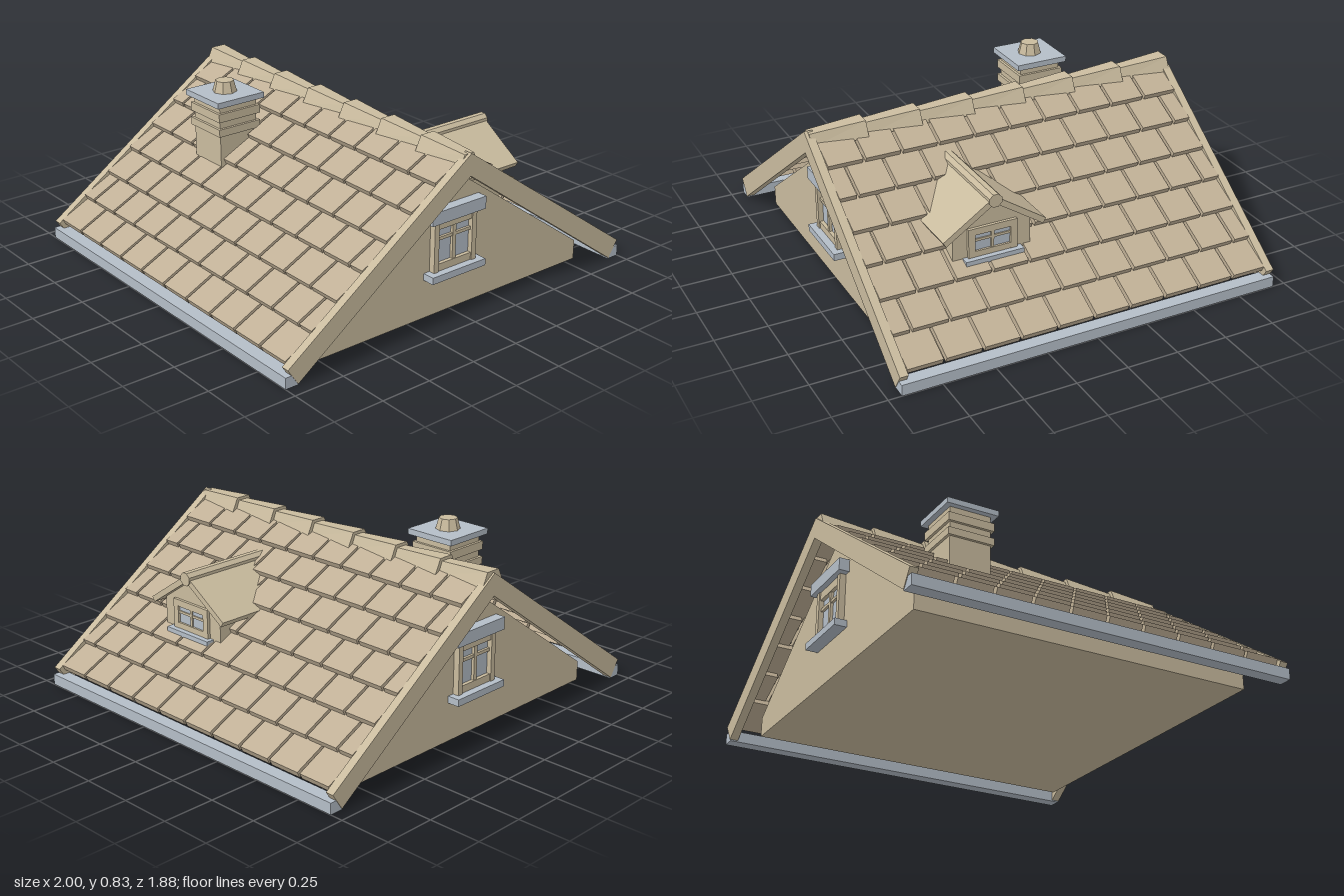
import * as THREE from 'three';

const mat = (name, color) => {
  const m = new THREE.MeshStandardMaterial({ color });
  m.name = name;
  return m;
};

export function createModel() {
  const model = new THREE.Group();
  model.name = 'roof';
  const plaster = mat('tan plaster', 0xc9bb9e);
  const clay = mat('clay tile', 0xc0b096);
  const stone = mat('blue grey stone', 0xb4bdc7);

  const add = (parent, name, geo, material, x = 0, y = 0, z = 0) => {
    const m = new THREE.Mesh(geo, material);
    m.name = name;
    m.position.set(x, y, z);
    parent.add(m);
    return m;
  };
  const group = (parent, name) => {
    const g = new THREE.Group();
    g.name = name;
    parent.add(g);
    return g;
  };
  // box given by its limits
  const box = (parent, name, material, x0, x1, y0, y1, z0, z1) =>
    add(parent, name, new THREE.BoxGeometry(x1 - x0, y1 - y0, z1 - z0), material,
      (x0 + x1) / 2, (y0 + y1) / 2, (z0 + z1) / 2);
  const extrude = (pts, depth) => new THREE.ExtrudeGeometry(
    new THREE.Shape(pts.map(p => new THREE.Vector2(...p))), { depth, bevelEnabled: false });

  // attic body with both gable walls
  add(model, 'atticWalls', extrude(
    [[-0.81, 0], [0.81, 0], [0.81, 0.095], [0, 0.67], [-0.81, 0.095]], 1.66), plaster, 0, 0, -0.83);

  // overlapping tiles, laid in a frame that follows the slope
  const slope = 0.71, pitch = Math.atan(slope), tilt = 0.16;
  const tileLength = 0.19, tileThick = 0.031, tileStep = 0.181, half = 0.902, gap = 0.014;
  for (const turn of [0, Math.PI]) {
    const side = group(model, turn ? 'rightSlope' : 'leftSlope');
    side.rotation.y = turn;
    const tiles = group(side, 'tiles');
    tiles.position.y = 0.787;
    tiles.rotation.z = -pitch;
    for (let row = 0; row < 7; row++) {
      const lip = (0.97 - row * 0.134) / Math.cos(pitch);
      const shift = row % 2 ? tileStep / 2 : 0;
      for (let k = 0; k < 11; k++) {
        const z0 = Math.max(-half, -0.905 + k * tileStep - shift + gap / 2);
        const z1 = Math.min(half, -0.905 + (k + 1) * tileStep - shift - gap / 2);
        if (z1 - z0 < 0.03) continue;
        const geo = new THREE.BoxGeometry(tileLength, tileThick, z1 - z0);
        geo.translate(-tileLength / 2, -tileThick / 2, 0);
        add(tiles, 'tile', geo, clay, lip, 0.005, (z0 + z1) / 2).rotation.z = tilt;
      }
    }
    // eaves gutter
    box(side, 'gutter', stone, 0.935, 1, 0, 0.053, -0.937, 0.937);
  }

  // bargeboards along both gables
  const board = extrude([[0, 0.78], [-0.99, 0.085], [-0.937, 0.005], [0, 0.675],
    [0.937, 0.005], [0.99, 0.085]], 0.04);
  add(model, 'frontBargeboard', board, plaster, 0, 0, 0.9);
  add(model, 'backBargeboard', board, plaster, 0, 0, -0.94);

  // ridge caps, each narrowing and dropping towards the front
  const capStep = 0.265;
  const capGeo = extrude([[-0.072, 0.718], [0.072, 0.718], [0.038, 0.789], [-0.038, 0.789]], capStep);
  const pos = capGeo.attributes.position;
  for (let i = 0; i < pos.count; i++) {
    const t = pos.getZ(i) / capStep;
    pos.setX(i, pos.getX(i) * (1 - 0.3 * t));
    pos.setY(i, 0.718 + (pos.getY(i) - 0.718) * (1 - 0.2 * t));
  }
  capGeo.computeVertexNormals();
  const ridge = group(model, 'ridgeCaps');
  for (let i = 0; i < 7; i++) add(ridge, 'ridgeCap', capGeo, plaster, 0, 0, -0.93 + i * capStep);

  // window facing +z at z = 0, centred on x = 0
  const gableWindow = name => {
    const w = group(model, name);
    box(w, 'glass', stone, -0.1, 0.1, 0.24, 0.44, 0, 0.006);
    for (const s of [-1, 1]) {
      const a = s * 0.098, b = s * 0.125;
      box(w, 'jamb', plaster, Math.min(a, b), Math.max(a, b), 0.22, 0.46, 0, 0.03);
    }
    box(w, 'headRail', plaster, -0.1, 0.1, 0.42, 0.46, 0, 0.024);
    box(w, 'bottomRail', plaster, -0.1, 0.1, 0.22, 0.255, 0, 0.024);
    box(w, 'transom', plaster, -0.1, 0.1, 0.365, 0.38, 0, 0.018);
    box(w, 'mullion', plaster, -0.01, 0.01, 0.25, 0.425, 0, 0.02);
    box(w, 'lintel', stone, -0.158, 0.158, 0.46, 0.52, -0.01, 0.05);
    box(w, 'sill', stone, -0.158, 0.158, 0.187, 0.22, -0.01, 0.06);
    return w;
  };
  gableWindow('frontWindow').position.z = 0.83;
  const backWindow = gableWindow('backWindow');
  backWindow.rotation.y = Math.PI;
  backWindow.position.z = -0.83;

  // chimney
  const chimney = group(model, 'chimney');
  chimney.position.set(-0.348, 0, -0.378);
  const block = (name, m, r, y0, y1) => box(chimney, name, m, -r, r, y0, y1, -r, r);
  block('shaft', plaster, 0.104, 0.4, 0.75);
  block('lowerBand', plaster, 0.117, 0.6, 0.637);
  block('upperBand', plaster, 0.117, 0.672, 0.713);
  block('capSlab', stone, 0.132, 0.748, 0.776);
  const pot = new THREE.CylinderGeometry(0.044, 0.059, 0.056, 8).toNonIndexed();
  pot.computeVertexNormals();
  add(chimney, 'chimneyPot', pot, plaster, 0, 0.802, 0);

  // dormer, drawn facing +z and then turned to face +x
  const dormer = group(model, 'dormer');
  dormer.position.z = 0.33;
  dormer.rotation.y = Math.PI / 2;
  add(dormer, 'dormerWalls', extrude(
    [[-0.19, 0.28], [0.19, 0.28], [0.19, 0.465], [0, 0.59], [-0.19, 0.465]], 0.325), plaster, 0, 0, 0.3);
  add(dormer, 'dormerRoof', extrude([[0, 0.622], [-0.25, 0.455], [-0.236, 0.431], [0, 0.588],
    [0.236, 0.431], [0.25, 0.455]], 0.51), plaster, 0, 0, 0.15);
  const roll = new THREE.CylinderGeometry(0.033, 0.033, 0.515, 8).toNonIndexed();
  roll.rotateY(Math.PI / 8);
  roll.rotateX(Math.PI / 2);
  roll.computeVertexNormals();
  add(dormer, 'dormerRidgeRoll', roll, plaster, 0, 0.603, 0.408);

  // dormer window
  const dw = group(dormer, 'dormerWindow');
  dw.position.z = 0.625;
  box(dw, 'glass', stone, -0.09, 0.09, 0.35, 0.45, 0, 0.004);
  for (const s of [-1, 1]) box(dw, 'jamb', plaster, s * 0.103 - 0.016, s * 0.103 + 0.016, 0.32, 0.475, 0, 0.015);
  box(dw, 'headRail', plaster, -0.09, 0.09, 0.442, 0.475, 0, 0.014);
  box(dw, 'bottomRail', plaster, -0.09, 0.09, 0.32, 0.362, 0, 0.014);
  box(dw, 'transom', plaster, -0.09, 0.09, 0.408, 0.42, 0, 0.01);
  box(dw, 'mullion', plaster, -0.007, 0.007, 0.36, 0.445, 0, 0.011);
  box(dw, 'sill', stone, -0.142, 0.142, 0.308, 0.334, -0.03, 0.04);

  return model;
}
